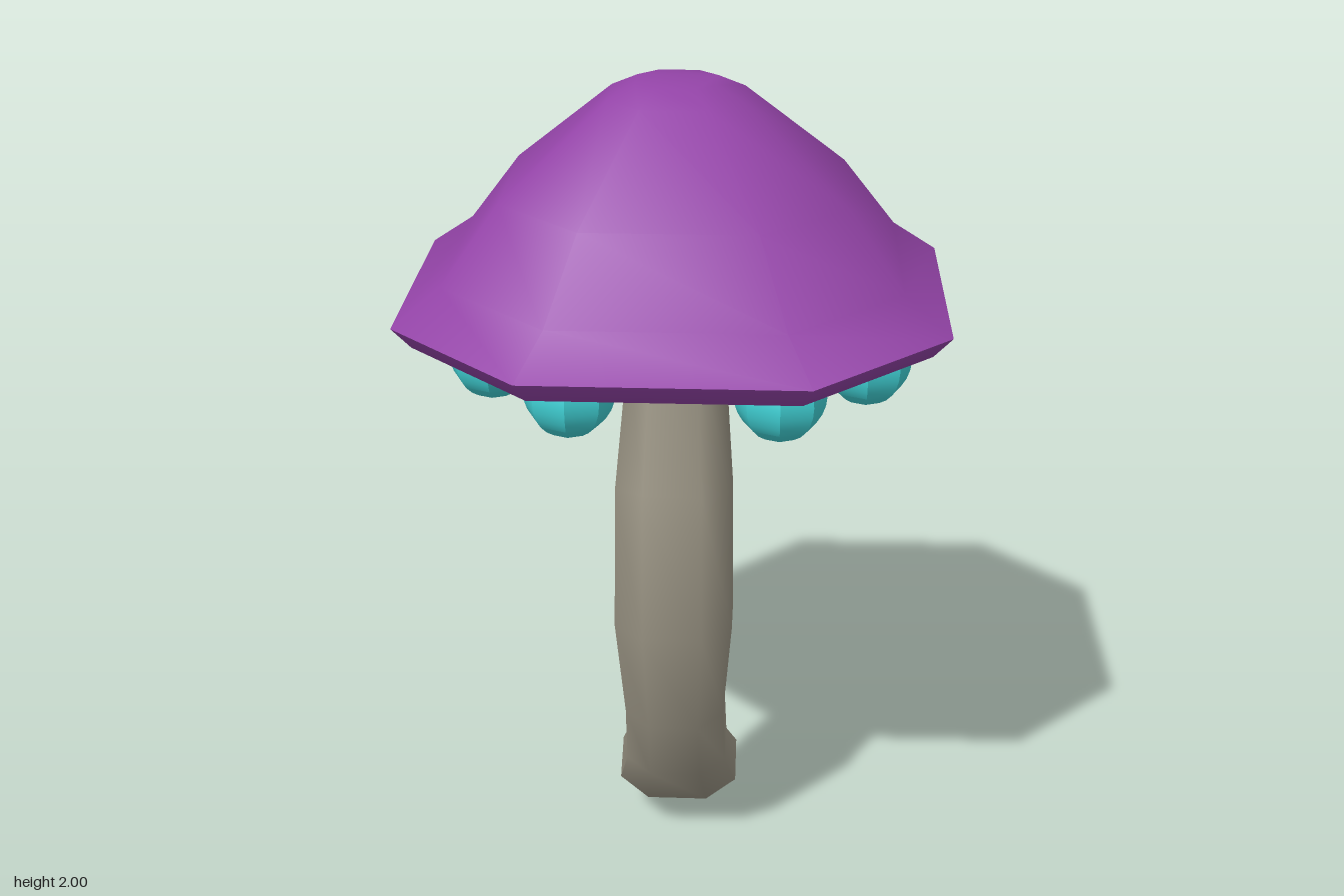
import * as THREE from 'three';
import { toCreasedNormals } from 'three/addons/utils/BufferGeometryUtils.js';

// Square with cut corners: the octagon used for every cross-section
const OCT = [[1, -0.5], [1, 0.5], [0.5, 1], [-0.5, 1], [-1, 0.5], [-1, -0.5], [-0.5, -1], [0.5, -1]];

// Closed skin over rings listed from top to bottom.
// Ring: half width w in x, front point (y, z) and back point (y, z)
function loft(rings) {
  const n = OCT.length, pos = [], index = [];
  for (const { w, front, back } of rings) {
    for (const [u, v] of OCT) {
      const t = (v + 1) / 2;
      pos.push(u * w, back[0] + (front[0] - back[0]) * t, back[1] + (front[1] - back[1]) * t);
    }
  }
  for (let i = 0; i < rings.length - 1; i++) {
    for (let j = 0; j < n; j++) {
      const a = i * n + j, b = i * n + (j + 1) % n;
      index.push(a, b, a + n, b, b + n, a + n);
    }
  }
  // End faces
  const last = (rings.length - 1) * n;
  for (let j = 1; j < n - 1; j++) {
    index.push(0, j + 1, j);
    index.push(last, last + j, last + j + 1);
  }
  const g = new THREE.BufferGeometry();
  g.setAttribute('position', new THREE.Float32BufferAttribute(pos, 3));
  g.setIndex(index);
  return toCreasedNormals(g, 1.05);
}

function part(name, geometry, color) {
  const mesh = new THREE.Mesh(geometry, new THREE.MeshStandardMaterial({ color }));
  mesh.name = name;
  return mesh;
}

export function createModel() {
  const model = new THREE.Group();
  model.name = 'mushroom';

  // Cap: half width and height, from the crown over the rim to the underside
  const capProfile = [
    [0.09, 2.0], [0.15, 1.97], [0.38, 1.77], [0.505, 1.6], [0.61, 1.52],
    [0.57, 1.47], [0.4, 1.455], [0.15, 1.435],
  ];
  model.add(part('cap', loft(capProfile.map(([s, y]) => ({ w: s, front: [y, s], back: [y, -s] }))), 0x9444a8));

  // Bent stem: half width, front edge (y, z), back edge (y, z)
  const stemRings = [
    [0.125, [1.46, 0.12], [1.46, -0.125]],
    [0.108, [1.41, 0.125], [1.41, -0.1]],
    [0.135, [1.1, 0.25], [1.05, -0.015]],
    [0.14, [0.73, 0.26], [0.73, -0.015]],
    [0.12, [0.45, 0.2], [0.5, -0.03]],
    [0.125, [0.25, 0.1], [0.3, -0.12]],
    [0.15, [0.11, 0], [0.22, -0.21]],
    [0.11, [0, -0.28], [0, -0.49]],
  ].map(([w, front, back]) => ({ w, front, back }));
  model.add(part('stem', loft(stemRings), 0x9a9484));

  // Beads under the rim, in pairs at the four corners
  const beads = new THREE.Group();
  beads.name = 'beads';
  const beadGeometry = toCreasedNormals(new THREE.SphereGeometry(0.1, 8, 14), 0.6);
  const spots = [
    [-0.21, -0.38], [-0.4, -0.21], [0.22, -0.38], [0.43, -0.21],
    [-0.4, 0.22], [-0.21, 0.43], [0.24, 0.43], [0.43, 0.22],
  ];
  for (const [x, z] of spots) {
    const bead = part('bead', beadGeometry, 0x40d0d4);
    bead.position.set(x, 1.435, z);
    beads.add(bead);
  }
  model.add(beads);
  return model;
}
